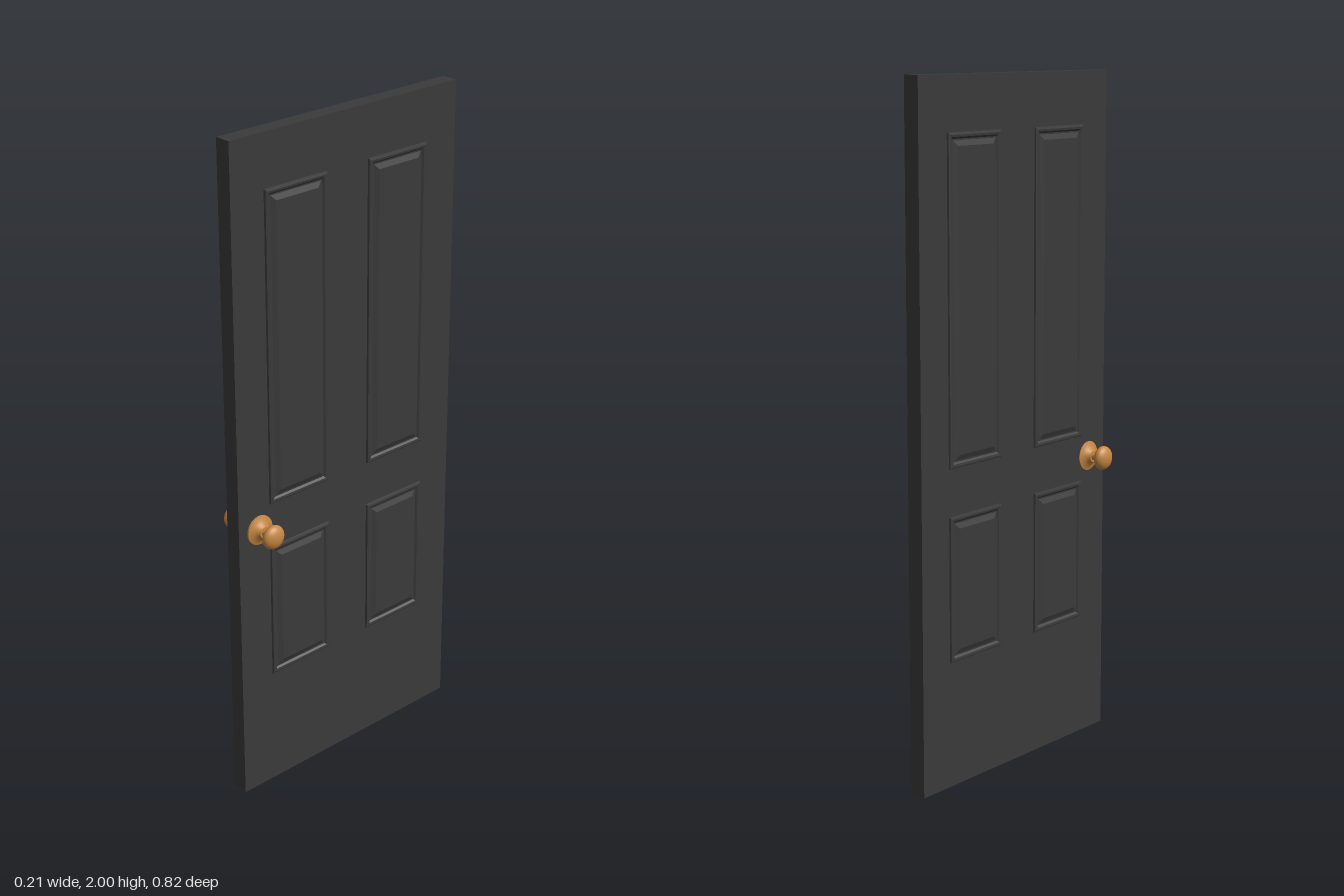
import * as THREE from 'three';

const doorMaterial = new THREE.MeshStandardMaterial({ color: 0x3a3a3a, flatShading: true });
const knobMaterial = new THREE.MeshStandardMaterial({ color: 0xc68642 });

const CENTRE_X = -0.002;
const HALF_THICK = 0.0245;

// Raised panel facing +z: rectangular rings of [inset, height], closed by a flat field.
const panelProfile = [
  [0, 0], [0.002, 0.005], [0.007, 0.0065], [0.013, 0.0055],
  [0.018, 0.001], [0.022, 0.001], [0.037, 0.0075],
];

function panelGeometry(width, height) {
  const positions = [];
  const index = [];
  for (const [inset, z] of panelProfile) {
    const w = width / 2 - inset;
    const h = height / 2 - inset;
    positions.push(-w, -h, z, w, -h, z, w, h, z, -w, h, z);
  }
  const rings = panelProfile.length;
  for (let r = 0; r < rings - 1; r++) {
    for (let i = 0; i < 4; i++) {
      const a = r * 4 + i;
      const b = r * 4 + (i + 1) % 4;
      index.push(a, b, b + 4, a, b + 4, a + 4);
    }
  }
  const f = (rings - 1) * 4;
  index.push(f, f + 1, f + 2, f, f + 2, f + 3);
  const geometry = new THREE.BufferGeometry();
  geometry.setAttribute('position', new THREE.Float32BufferAttribute(positions, 3));
  geometry.setIndex(index);
  const flat = geometry.toNonIndexed();
  flat.computeVertexNormals();
  return flat;
}

function lathe(points, name) {
  const geometry = new THREE.LatheGeometry(points.map(([r, y]) => new THREE.Vector2(r, y)), 40);
  const mesh = new THREE.Mesh(geometry, knobMaterial);
  mesh.name = name;
  return mesh;
}

// Knob set turned about +y, measured from the door's middle plane.
function createKnob() {
  const knob = new THREE.Group();
  knob.add(lathe([[0.044, 0.02], [0.044, 0.028]], 'roseRim'));
  knob.add(lathe([[0.044, 0.028], [0.035, 0.031], [0.026, 0.036], [0.02, 0.042], [0.017, 0.048]], 'rose'));
  knob.add(lathe([[0.017, 0.048], [0.011, 0.048]], 'roseCollar'));
  knob.add(lathe([[0.011, 0.046], [0.011, 0.066]], 'neck'));
  // Flattened ball grip
  const grip = new THREE.Mesh(new THREE.SphereGeometry(1, 40, 24), knobMaterial);
  grip.scale.set(0.036, 0.0215, 0.036);
  grip.position.y = 0.0825;
  grip.name = 'grip';
  knob.add(grip);
  return knob;
}

export function createModel() {
  const door = new THREE.Group();
  door.name = 'door';

  const slab = new THREE.Mesh(new THREE.BoxGeometry(HALF_THICK * 2, 2, 0.82), doorMaterial);
  slab.position.set(CENTRE_X, 1, 0);
  slab.name = 'slab';
  door.add(slab);

  // Tall panels above, short panels below, on both faces
  const rows = [
    { name: 'upperPanel', bottom: 0.925, top: 1.847 },
    { name: 'lowerPanel', bottom: 0.367, top: 0.79 },
  ];
  for (const { name, bottom, top } of rows) {
    const geometry = panelGeometry(0.222, top - bottom);
    for (const side of [1, -1]) {
      for (const z of [0.186, -0.186]) {
        const panel = new THREE.Mesh(geometry, doorMaterial);
        panel.position.set(CENTRE_X + side * HALF_THICK, (bottom + top) / 2, z);
        panel.rotation.y = side * Math.PI / 2;
        panel.name = name;
        door.add(panel);
      }
    }
  }

  // A knob on each face
  for (const side of [1, -1]) {
    const knob = createKnob();
    knob.position.set(0, 0.86, 0.336);
    knob.rotation.z = -side * Math.PI / 2;
    knob.name = side > 0 ? 'leftKnob' : 'rightKnob';
    door.add(knob);
  }
  return door;
}
